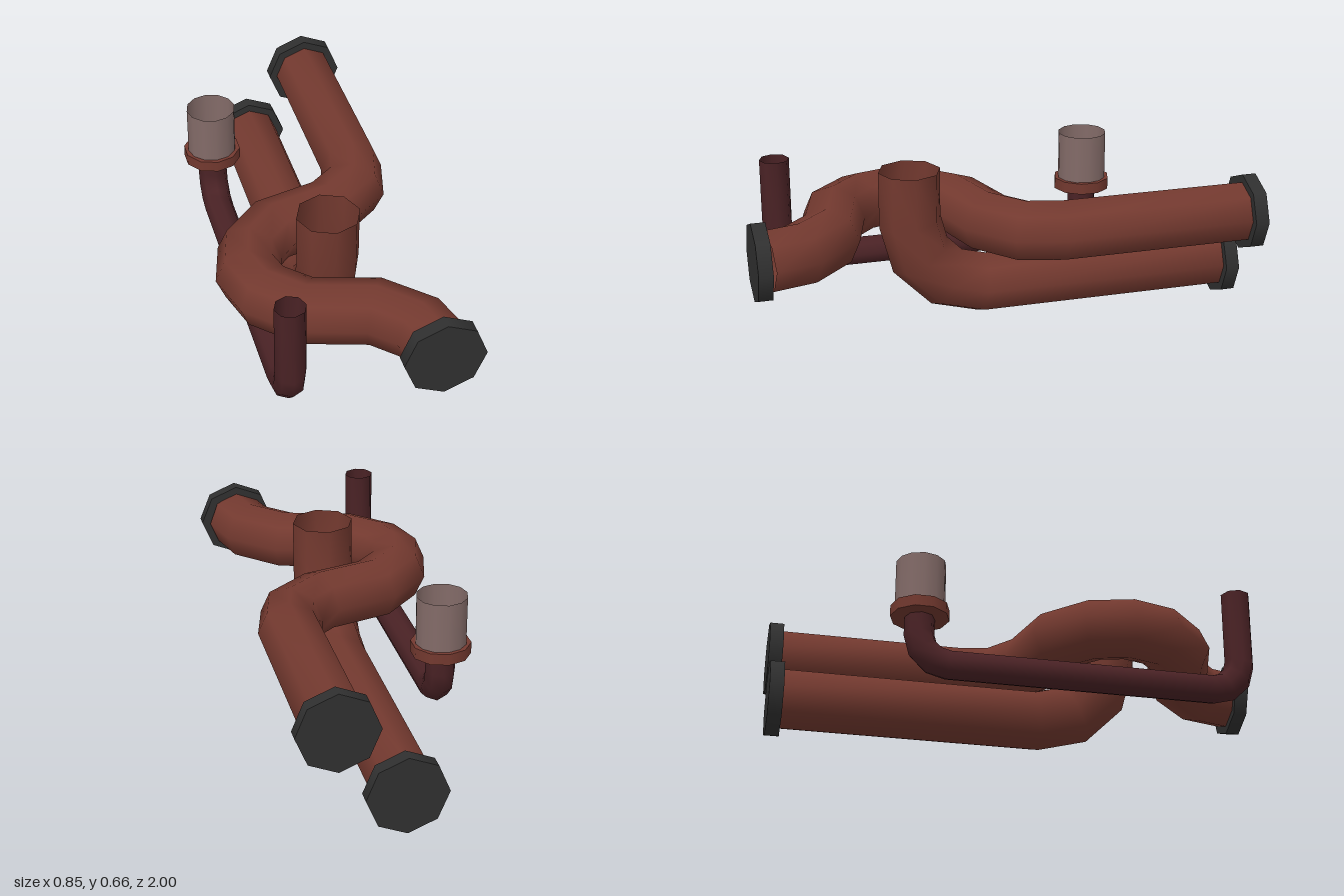
import * as THREE from 'three';

const mat = (name, color, side = THREE.FrontSide) => {
  const m = new THREE.MeshStandardMaterial({ color, side });
  m.name = name;
  return m;
};

// Open eight-sided pipe with mitred joints along a flat path; b is the normal of the path's plane
function pipeGeometry(path, radius, b, sides = 8) {
  const pos = [], index = [];
  const dir = (i) => path[i + 1].clone().sub(path[i]).normalize();
  path.forEach((p, i) => {
    const d0 = dir(Math.max(i - 1, 0));
    const d1 = dir(Math.min(i, path.length - 2));
    const t = d0.clone().add(d1).normalize();
    const n = b.clone().cross(t);
    const miter = 1 / t.dot(d0);
    for (let j = 0; j < sides; j++) {
      const a = (j / sides) * Math.PI * 2;
      const v = p.clone()
        .addScaledVector(n, Math.cos(a) * radius * miter)
        .addScaledVector(b, Math.sin(a) * radius);
      pos.push(v.x, v.y, v.z);
      if (i < path.length - 1) {
        const k = (j + 1) % sides;
        const p0 = i * sides + j, p1 = i * sides + k;
        index.push(p0, p1, p0 + sides, p1, p1 + sides, p0 + sides);
      }
    }
  });
  const g = new THREE.BufferGeometry();
  g.setAttribute('position', new THREE.Float32BufferAttribute(pos, 3));
  g.setIndex(index);
  g.computeVertexNormals();
  return g;
}

// Points of a quarter bend turning from horizontal (along z) to vertical; s is the z direction
function bend(x, cy, cz, r, s) {
  return [0, 30, 60, 90].map((deg) => {
    const a = THREE.MathUtils.degToRad(deg);
    return new THREE.Vector3(x, cy - r * Math.cos(a), cz + s * r * Math.sin(a));
  });
}

export function createModel() {
  const group = new THREE.Group();
  const rust = mat('rust brown', 0x73392f, THREE.DoubleSide);
  const maroon = mat('dark maroon', 0x4a2225, THREE.DoubleSide);
  const black = mat('charcoal', 0x303030);
  const grey = mat('pinkish grey', 0x836b68, THREE.DoubleSide);
  const X = new THREE.Vector3(1, 0, 0), Y = new THREE.Vector3(0, 1, 0);

  const add = (name, geometry, material, x = 0, y = 0, z = 0) => {
    const m = new THREE.Mesh(geometry, material);
    m.name = name;
    m.position.set(x, y, z);
    group.add(m);
    return m;
  };

  // Upper pipe snaking sideways around the riser
  const snake = [
    [0.265, -0.96], [0.265, -0.2], [0.23, -0.06], [0.095, 0.05], [-0.145, 0.115],
    [-0.265, 0.235], [-0.3, 0.367], [-0.265, 0.495], [-0.145, 0.615], [0.1, 0.685],
    [0.23, 0.815], [0.268, 0.96],
  ].map(([x, z]) => new THREE.Vector3(x, 0.443, z));
  add('upperPipe', pipeGeometry(snake, 0.123, Y), rust);

  // Lower pipe turning up into an open riser
  const riser = [
    new THREE.Vector3(0.013, 0.157, -0.96),
    ...bend(0.013, 0.447, 0.055, 0.29, 1),
    new THREE.Vector3(0.013, 0.657, 0.345),
  ];
  add('lowerPipe', pipeGeometry(riser, 0.123, X), rust);

  // Thin pipe with both ends turned up
  const px = -0.259;
  const thin = [
    new THREE.Vector3(px, 0.45, -0.455),
    ...bend(px, 0.352, -0.34, 0.116, -1).reverse(),
    ...bend(px, 0.352, 0.71, 0.116, 1),
    new THREE.Vector3(px, 0.66, 0.826),
  ];
  add('thinPipe', pipeGeometry(thin, 0.059, X), maroon);

  // End caps
  const cap = new THREE.CylinderGeometry(0.155, 0.155, 0.055, 8).rotateX(Math.PI / 2);
  add('upperBackCap', cap, black, 0.265, 0.443, -0.9725);
  add('upperFrontCap', cap, black, 0.265, 0.443, 0.9725);
  add('lowerBackCap', cap, black, 0.013, 0.156, -0.9725);

  // Collar and open cup on the back end of the thin pipe
  add('cupCollar', new THREE.CylinderGeometry(0.115, 0.115, 0.045, 10), rust, px, 0.445, -0.455);
  add('cup', new THREE.CylinderGeometry(0.098, 0.098, 0.2, 12, 1, true), grey, px, 0.56, -0.455);

  return group;
}
